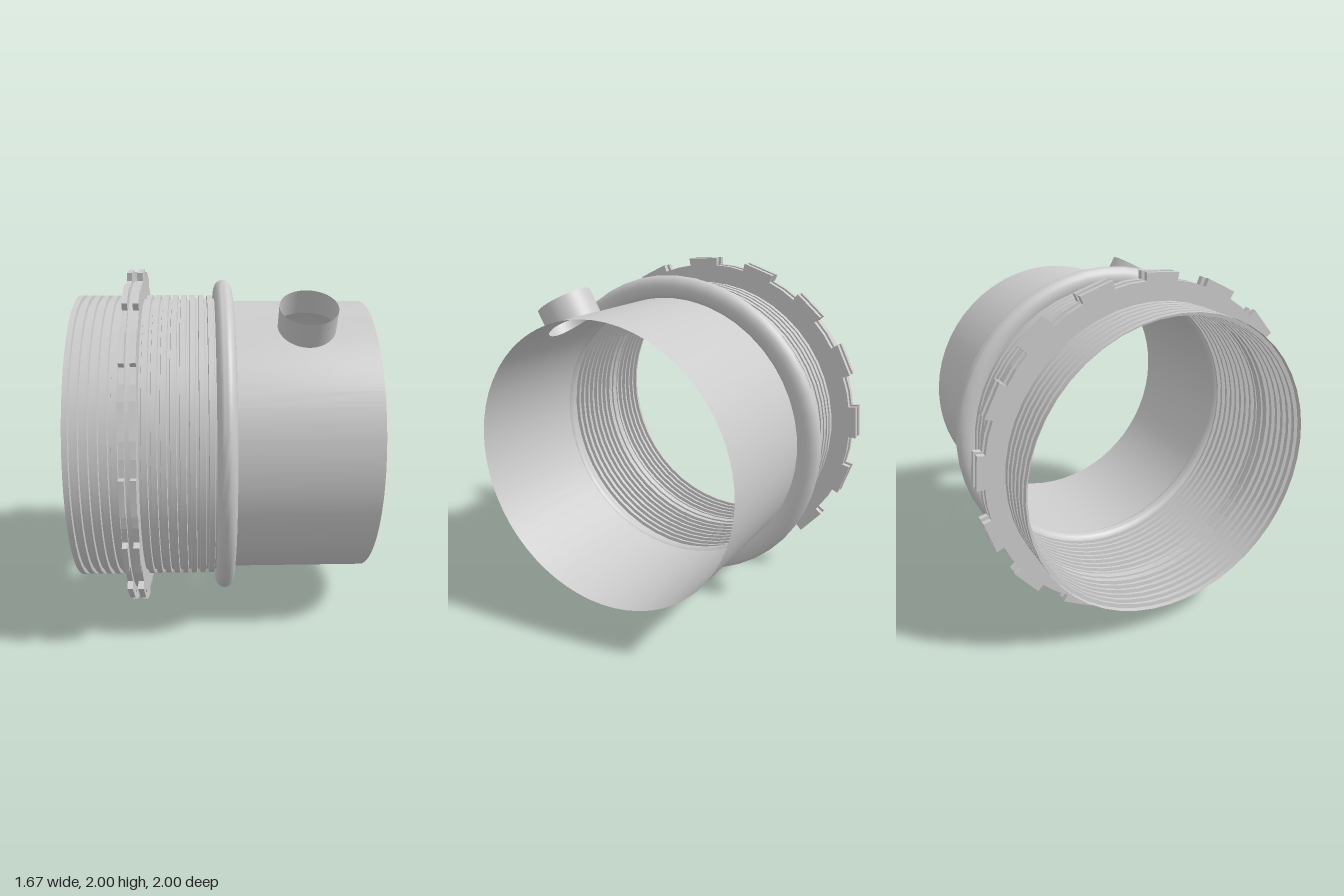
import * as THREE from 'three';
import { toCreasedNormals } from 'three/addons/utils/BufferGeometryUtils.js';
import { ParametricGeometry } from 'three/addons/geometries/ParametricGeometry.js';

const SEGMENTS = 48;
const material = new THREE.MeshStandardMaterial({ color: 0xcccccc, side: THREE.DoubleSide });

function part(name, geometry) {
  const mesh = new THREE.Mesh(geometry, material);
  mesh.name = name;
  return mesh;
}

// Revolves [x, radius] points around the x axis
function revolve(profile, crease) {
  const points = profile.map(([x, r]) => new THREE.Vector2(r, x));
  const geometry = new THREE.LatheGeometry(points, SEGMENTS).rotateZ(-Math.PI / 2);
  return toCreasedNormals(geometry, crease);
}

// Point on a cylinder around x; phi runs from the top towards the front
const wrap = (target, x, phi, r) => target.set(x, r * Math.cos(phi), r * Math.sin(phi));

// Thin corrugated collar with square ribs
function corrugatedCollar() {
  const profile = [];
  for (let i = 0; i < 16; i++) {
    const x = -0.835 + i * 0.05;
    profile.push([x, 0.85], [x + 0.03, 0.85], [x + 0.033, 0.828], [x + 0.047, 0.828]);
  }
  return part('corrugatedCollar', revolve(profile, 0.6));
}

// Rounded bead between the collar and the plain sleeve
function bead() {
  const profile = [];
  for (let i = 0; i <= 20; i++) {
    const a = (i / 20) * Math.PI * 2;
    profile.push([0.007 - 0.053 * Math.cos(a), 0.87 + 0.07 * Math.sin(a)]);
  }
  return part('bead', revolve(profile, 1));
}

// Ring with evenly spaced rectangular teeth
function toothedRing(name, x, depth) {
  const teeth = 16, pitch = (Math.PI * 2) / teeth, first = THREE.MathUtils.degToRad(4.1);
  const shape = new THREE.Shape();
  const corners = [[-0.25, 0.955], [-0.25, 1], [0.25, 1], [0.25, 0.955], [0.5, 0.957]];
  for (let i = 0; i < teeth; i++) {
    corners.forEach(([step, r], k) => {
      const a = first + (i + step) * pitch;
      const p = [-r * Math.sin(a), r * Math.cos(a)];
      if (i + k === 0) shape.moveTo(...p);
      else shape.lineTo(...p);
    });
  }
  shape.closePath();
  const hole = new THREE.Path().absarc(0, 0, 0.835, 0, Math.PI * 2);
  shape.holes.push(hole);
  const geometry = new THREE.ExtrudeGeometry(shape, { depth, bevelEnabled: false, curveSegments: 24 });
  return part(name, geometry.rotateY(Math.PI / 2).translate(x, 0, 0));
}

function toothedFlange() {
  const group = new THREE.Group();
  group.name = 'toothedFlange';
  group.add(toothedRing('outerToothedRing', -0.538, 0.029));
  group.add(toothedRing('innerToothedRing', -0.48, 0.031));
  // Filler disc in the groove between the two rings
  const filler = [[-0.511, 0.835], [-0.511, 0.93], [-0.478, 0.93], [-0.478, 0.835]];
  group.add(part('flangeCore', revolve(filler, 0.6)));
  return group;
}

// Plain sleeve with a round opening and a short spout standing on it
function sleeveWithSpout() {
  const group = new THREE.Group();
  group.name = 'sleeveWithSpout';
  const R = 0.812, x0 = 0.01, x1 = 0.833;
  const tilt = Math.PI / 6, half = Math.PI / 6;
  const spoutX = 0.457, spoutR = 0.16, spoutTop = 0.945;
  const mid = (x0 + x1) / 2, halfX = (x1 - x0) / 2;

  // Closed side of the sleeve
  const shell = new ParametricGeometry((u, v, p) => {
    wrap(p, x0 + (x1 - x0) * v, tilt + half + u * (Math.PI * 2 - 2 * half), R);
  }, 50, 1);
  group.add(part('sleeve', shell));

  // Patch running from the round opening out to a rectangle on the sleeve
  const patch = new ParametricGeometry((u, v, p) => {
    const t = u * Math.PI * 2, c = Math.cos(t), s = Math.sin(t);
    const m = Math.max(Math.abs(c), Math.abs(s));
    const x = THREE.MathUtils.lerp(spoutX + spoutR * c, mid + (halfX * c) / m, v);
    const phi = THREE.MathUtils.lerp(Math.asin((spoutR * s) / R), (half * s) / m, v);
    wrap(p, x, tilt + phi, R);
  }, SEGMENTS, 5);
  // Radial normals keep the patch continuous with the rest of the sleeve
  const pos = patch.attributes.position, normal = patch.attributes.normal;
  for (let i = 0; i < pos.count; i++) normal.setXYZ(i, 0, pos.getY(i) / R, pos.getZ(i) / R);
  group.add(part('sleeveOpening', patch));

  // Spout wall, its foot following the sleeve
  const spout = new ParametricGeometry((u, v, p) => {
    const t = u * Math.PI * 2, side = spoutR * Math.sin(t);
    const foot = Math.sqrt(R * R - side * side);
    const h = THREE.MathUtils.lerp(spoutTop, foot, v);
    p.set(
      spoutX + spoutR * Math.cos(t),
      h * Math.cos(tilt) - side * Math.sin(tilt),
      h * Math.sin(tilt) + side * Math.cos(tilt)
    );
  }, SEGMENTS, 1);
  group.add(part('spout', spout));
  return group;
}

export function createModel() {
  const model = new THREE.Group();
  model.name = 'pipeCoupling';
  const body = new THREE.Group();
  body.name = 'body';
  body.position.y = 1;
  body.add(corrugatedCollar(), bead(), toothedFlange(), sleeveWithSpout());
  model.add(body);
  return model;
}
